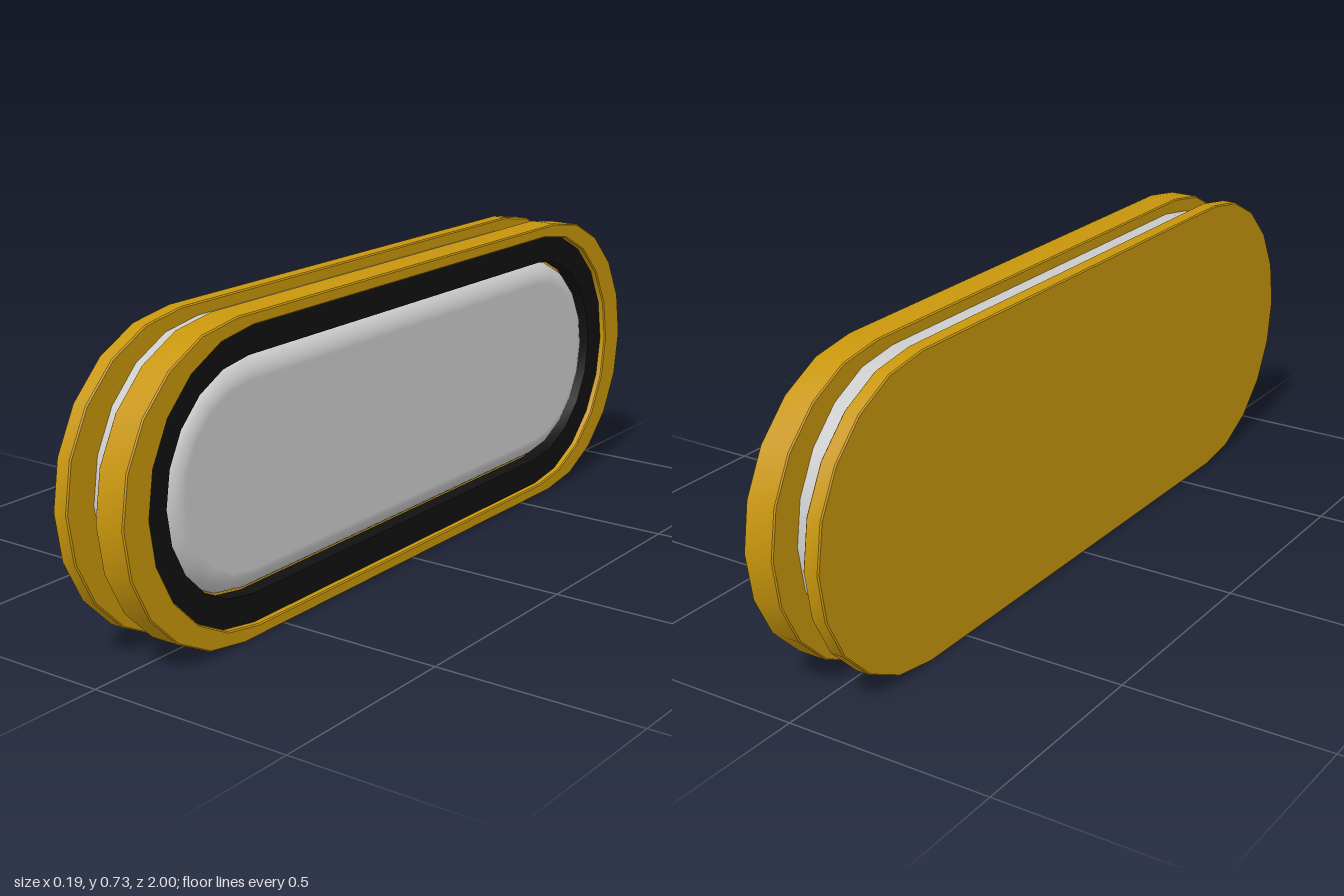
import * as THREE from 'three';
import { toCreasedNormals } from 'three/addons/utils/BufferGeometryUtils.js';

const MID = 0.363; // height of the centre line

// Stadium outline: half length, radius; ten facets per rounded end
function stadium(half, r) {
  const pts = [];
  for (const [side, start] of [[1, -Math.PI / 2], [-1, Math.PI / 2]]) {
    for (let i = 0; i <= 10; i++) {
      const a = start + (i / 10) * Math.PI;
      pts.push(new THREE.Vector2(side * (half - r) + r * Math.cos(a), MID + r * Math.sin(a)));
    }
  }
  return pts;
}

// Extrude a stadium (optionally with a stadium hole) along x from x0 to x1
function slab(outer, hole, x0, x1, bevel = 0, segments = 1) {
  const shape = new THREE.Shape(stadium(...outer));
  if (hole) shape.holes.push(new THREE.Path(stadium(...hole)));
  const geo = new THREE.ExtrudeGeometry(shape, {
    depth: x1 - x0 - 2 * bevel,
    bevelEnabled: bevel > 0,
    bevelThickness: bevel,
    bevelSize: bevel,
    bevelOffset: -bevel,
    bevelSegments: segments,
  });
  geo.translate(0, 0, x0 + bevel);
  geo.rotateY(Math.PI / 2);
  return toCreasedNormals(geo, 0.6);
}

export function createModel() {
  const group = new THREE.Group();
  const gold = new THREE.MeshStandardMaterial({ color: 0xc8960c });
  const black = new THREE.MeshStandardMaterial({ color: 0x111111 });
  const grey = new THREE.MeshStandardMaterial({ color: 0xcccccc });
  const add = (name, geo, mat) => {
    const mesh = new THREE.Mesh(geo, mat);
    mesh.name = name;
    group.add(mesh);
    return mesh;
  };

  const opening = [0.922, 0.335];
  const window = [0.855, 0.268];

  // Closed plate on one side, grey core, open rim on the other side
  add('backPlate', slab([1, MID], null, -0.097, -0.058, 0.003), gold);
  add('core', slab(opening, null, -0.058, 0.021), grey);
  add('frontRim', slab([1, MID], opening, 0.02, 0.096, 0.003), gold);
  add('rimFloor', slab([0.93, 0.343], null, 0.02, 0.03), gold);

  // Black gasket set slightly below the rim
  add('gasket', slab(opening, window, 0.042, 0.08), black);

  // Rounded pane inside the gasket, with a flat face
  const paneGeo = slab([0.853, 0.266], null, -0.04, 0.08, 0.055, 6);
  const pos = paneGeo.attributes.position;
  for (let i = 0; i < pos.count; i++) {
    if (pos.getX(i) > 0.0799) paneGeo.attributes.normal.setXYZ(i, 1, 0, 0);
  }
  add('pane', paneGeo, grey);

  return group;
}
